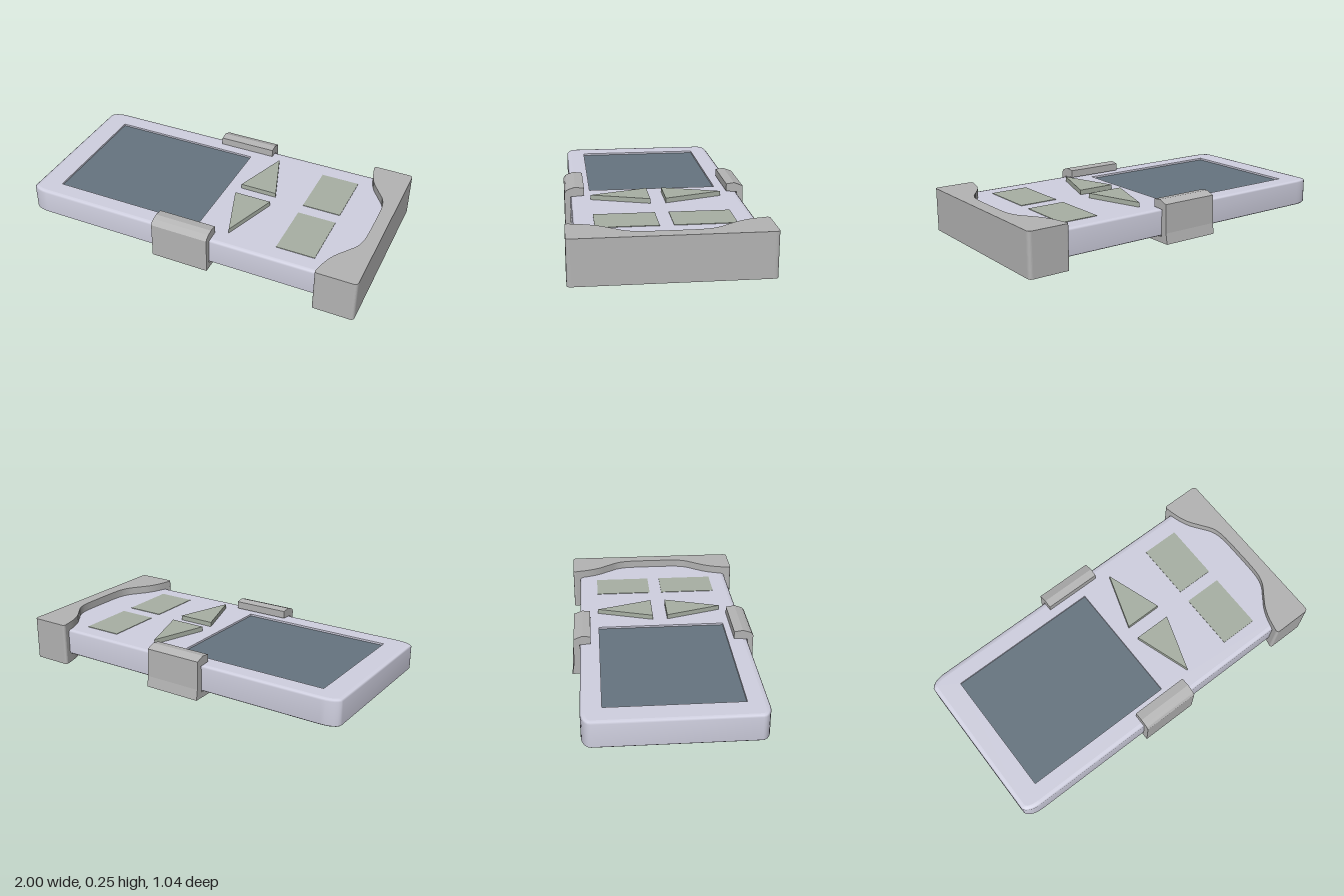
import * as THREE from 'three';

const mat = (color, extra = {}) => new THREE.MeshStandardMaterial({ color, ...extra });
const vecs = (pts) => pts.map(([x, y]) => new THREE.Vector2(x, y));

// Plan-view shape extruded upward from y0 to y1 (shape y becomes -z)
function slab(shape, y0, y1) {
  const g = new THREE.ExtrudeGeometry(shape, { depth: y1 - y0, bevelEnabled: false });
  return g.rotateX(-Math.PI / 2).translate(0, y0, 0);
}

function rect(x0, x1, y0, y1) {
  return vecs([[x0, y0], [x1, y0], [x1, y1], [x0, y1]]);
}

// Rounded plan outline of the body, shrunk by d, counter-clockwise
function outline(d) {
  const pts = [];
  const n = 6, rx = 0.1, rz = 0.05;
  const corners = [[0.88, 0.425], [-0.9, 0.425], [-0.9, -0.425], [0.88, -0.425]];
  corners.forEach(([cx, cy], q) => {
    for (let i = 0; i <= n; i++) {
      const a = (q + i / n) * Math.PI / 2;
      pts.push([cx + (rx - d) * Math.cos(a), cy + (rz - d) * Math.sin(a)]);
    }
  });
  return pts;
}

// Side wall lofted through rings of [inset, height]
function wall(rings) {
  const pos = [], index = [];
  const n = outline(0).length;
  rings.forEach(([d, y], r) => {
    outline(d).forEach(([x, s], i) => {
      pos.push(x, y, -s);
      if (r === 0) return;
      const j = (i + 1) % n, a = (r - 1) * n, b = r * n;
      index.push(a + i, a + j, b + j, a + i, b + j, b + i);
    });
  });
  const g = new THREE.BufferGeometry();
  g.setAttribute('position', new THREE.Float32BufferAttribute(pos, 3));
  g.setIndex(index);
  g.computeVertexNormals();
  return g;
}

export function createModel() {
  const model = new THREE.Group();
  model.name = 'handheldDevice';
  const add = (name, geometry, material, parent = model) => {
    const m = new THREE.Mesh(geometry, material);
    m.name = name;
    parent.add(m);
    return m;
  };

  const shell = mat(0xd0d0e0);
  const grey = mat(0xb4b4b4);
  const green = mat(0xa8b0a4);
  const glass = mat(0x667480);

  // Body: softened side wall, flat underside and top face with a screen opening
  const body = new THREE.Group();
  body.name = 'body';
  model.add(body);
  const rings = [[0.025, 0.05], [0.008, 0.053], [0, 0.06], [0, 0.19], [0.008, 0.197], [0.025, 0.2]];
  add('sideWall', wall(rings), shell, body);
  const face = vecs(outline(0.025));
  add('underside', new THREE.ShapeGeometry(new THREE.Shape(face))
    .rotateX(Math.PI / 2).translate(0, 0.05, 0), shell, body);
  const opening = rect(-0.86, 0.03, -0.365, 0.365);
  const top = new THREE.Shape(face);
  top.holes.push(new THREE.Path(opening));
  add('topFace', new THREE.ShapeGeometry(top).rotateX(-Math.PI / 2).translate(0, 0.2, 0), shell, body);

  // Recessed screen with the walls of its opening
  const frame = new THREE.Shape(rect(-0.88, 0.05, -0.385, 0.385));
  frame.holes.push(new THREE.Path(opening));
  add('screenSurround', slab(frame, 0.18, 0.199), shell, body);
  add('screen', new THREE.PlaneGeometry(0.89, 0.73)
    .rotateX(-Math.PI / 2).translate(-0.415, 0.188, 0), glass);

  // Mirrored pairs of arrow keys and flat square keys
  for (const s of [-1, 1]) {
    const side = s > 0 ? 'back' : 'front';
    const arrow = new THREE.Shape(vecs([[0.11, s * 0.043], [0.325, s * 0.043], [0.217, s * 0.367]]));
    add(side + 'ArrowKey', slab(arrow, 0.195, 0.227), green);
    const key = new THREE.Shape(rect(0.495, 0.715, s * 0.037, s * 0.367));
    add(side + 'SquareKey', slab(key, 0.195, 0.203), green);
  }

  // End cap with a scooped inner edge
  const half = [[0.765, 0.505], [0.785, 0.42], [0.815, 0.35], [0.86, 0.285], [0.9, 0.225], [0.918, 0.15]];
  const scoop = [...half, [0.921, 0], ...half.map(([x, y]) => [x, -y]).reverse()];
  const cap = new THREE.Shape();
  cap.moveTo(0.765, 0.505);
  cap.splineThru(vecs(scoop.slice(1)));
  cap.quadraticCurveTo(0.765, -0.52, 0.78, -0.52);
  cap.lineTo(0.975, -0.52);
  cap.quadraticCurveTo(0.996, -0.52, 0.996, -0.495);
  cap.lineTo(0.996, 0.495);
  cap.quadraticCurveTo(0.996, 0.52, 0.975, 0.52);
  cap.lineTo(0.78, 0.52);
  cap.quadraticCurveTo(0.765, 0.52, 0.765, 0.505);
  add('endCap', slab(cap, 0, 0.245), grey);

  // Clip wrapping under the body, section given as [z, y]
  const section = [
    [0.51, 0.015], [0.51, 0.222], [0.5, 0.237], [0.48, 0.246], [0.45, 0.255], [0.4, 0.248],
    [0.4, 0.205], [0.477, 0.2], [0.477, 0.048], [-0.477, 0.048], [-0.477, 0.2], [-0.415, 0.205],
    [-0.415, 0.248], [-0.46, 0.254], [-0.51, 0.235], [-0.515, 0.075], [-0.525, 0.015],
  ];
  const clip = new THREE.Shape(vecs(section.map(([z, y]) => [-z, y])));
  add('clip', new THREE.ExtrudeGeometry(clip, { depth: 0.335, bevelEnabled: false })
    .rotateY(Math.PI / 2).translate(-0.185, 0, 0), grey);

  return model;
}
